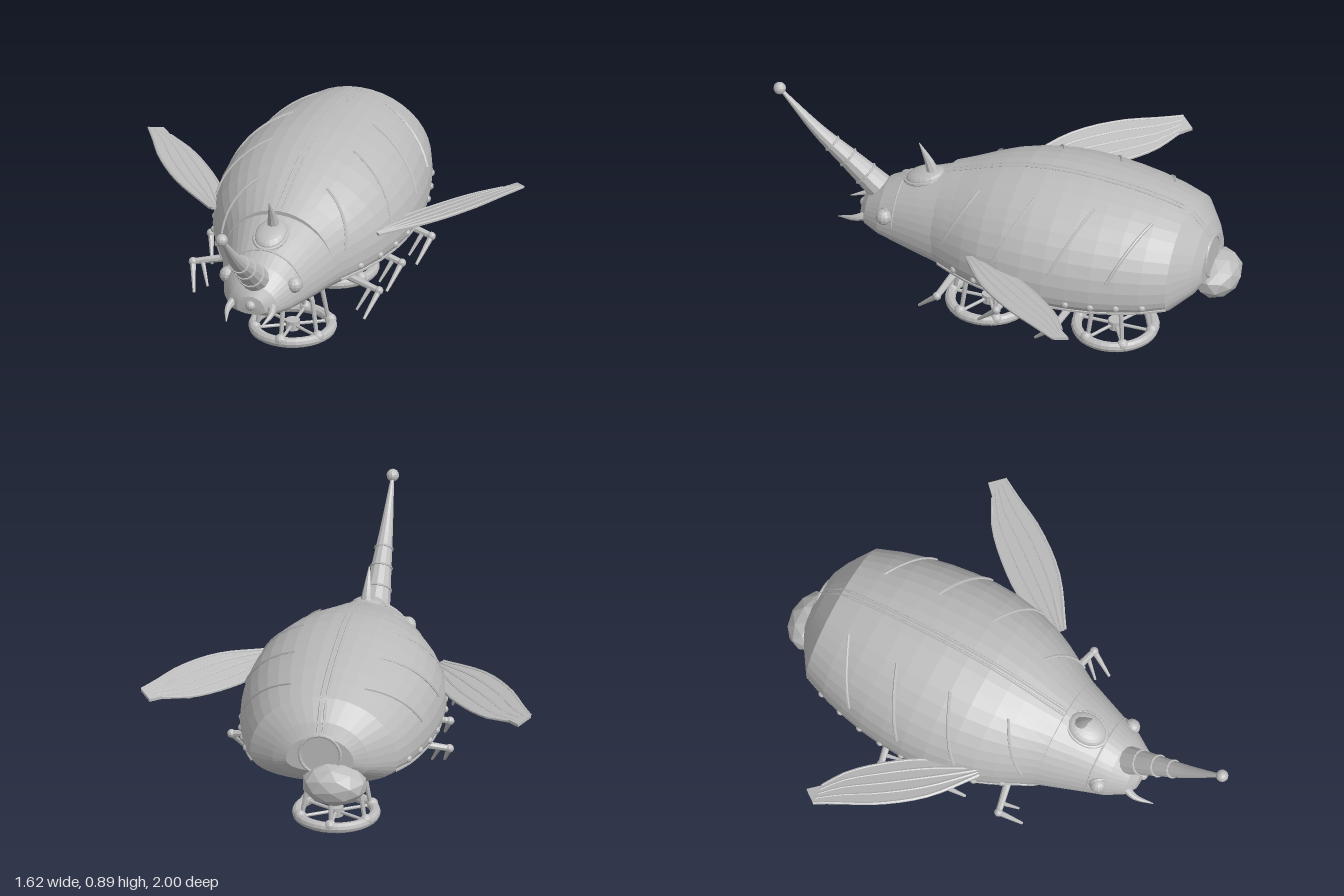
import * as THREE from 'three';

const V = (x, y, z) => new THREE.Vector3(x, y, z);

// Hull stations, nose to tail: z, half width, top y, bottom y
const HEAD = [
  [0.605, 0.001, 0.385, 0.383], [0.6, 0.06, 0.42, 0.34], [0.57, 0.105, 0.46, 0.325], [0.5, 0.148, 0.515, 0.308],
  [0.43, 0.172, 0.55, 0.296], [0.34, 0.205, 0.585, 0.285], [0.22, 0.25, 0.625, 0.276], [0.15, 0.27, 0.64, 0.275],
];
const SHELL = [
  [0.24, 0.2, 0.6, 0.3], [0.24, 0.24, 0.635, 0.275], [0.16, 0.285, 0.662, 0.27], [0.08, 0.33, 0.692, 0.267],
  [0, 0.366, 0.718, 0.265], [-0.1, 0.394, 0.742, 0.263], [-0.2, 0.41, 0.754, 0.262], [-0.3, 0.414, 0.758, 0.262],
  [-0.4, 0.408, 0.755, 0.263], [-0.5, 0.395, 0.747, 0.266], [-0.6, 0.373, 0.735, 0.274], [-0.7, 0.345, 0.715, 0.287],
  [-0.8, 0.305, 0.688, 0.31], [-0.87, 0.2, 0.61, 0.36], [-0.9, 0.14, 0.555, 0.4], [-0.9, 0.001, 0.478, 0.476],
];

// Point on a hull section at an angle: elliptical back, fuller belly
function section([z, w, top, bot], a) {
  const mid = bot + (top - bot) * 0.3, c = Math.cos(a), s = Math.sin(a);
  const e = s < 0 ? 0.84 : 1;
  return V(w * Math.sign(c) * Math.abs(c) ** e,
    s < 0 ? mid - (mid - bot) * Math.abs(s) ** e : mid + (top - mid) * s, z);
}

// Point on the hull at any z
function hull(rows, z, a) {
  let i = 1;
  while (i < rows.length - 2 && rows[i + 1][0] > z) i++;
  const p = rows[i], q = rows[i + 1];
  const t = THREE.MathUtils.clamp((z - p[0]) / (q[0] - p[0] || 1), 0, 1);
  return section(p.map((v, k) => v + (q[k] - v) * t), a);
}

function loft(rows, n = 40) {
  const pos = [], idx = [];
  rows.forEach((r, i) => {
    for (let j = 0; j < n; j++) {
      pos.push(...section(r, (j / n) * Math.PI * 2).toArray());
      if (i === rows.length - 1) continue;
      const a = i * n + j, b = i * n + ((j + 1) % n);
      idx.push(a, a + n, b, b, a + n, b + n);
    }
  });
  const g = new THREE.BufferGeometry();
  g.setAttribute('position', new THREE.Float32BufferAttribute(pos, 3));
  g.setIndex(idx);
  g.computeVertexNormals();
  return g;
}

// Tube along points whose radius runs from r0 to r1
function taper(points, r0, r1, sides = 8, n = 12) {
  const curve = new THREE.CatmullRomCurve3(points);
  const g = new THREE.TubeGeometry(curve, n, 1, sides);
  const p = g.attributes.position, v = V(0, 0, 0);
  for (let k = 0; k < p.count; k++) {
    const t = Math.floor(k / (sides + 1)) / n, c = curve.getPointAt(t);
    v.fromBufferAttribute(p, k).sub(c).multiplyScalar(r0 + (r1 - r0) * t).add(c);
    p.setXYZ(k, v.x, v.y, v.z);
  }
  g.computeVertexNormals();
  return g;
}

function rod(a, b, r0, r1 = r0, sides = 8) {
  const d = b.clone().sub(a);
  const g = new THREE.CylinderGeometry(r1, r0, d.length(), sides);
  g.applyQuaternion(new THREE.Quaternion().setFromUnitVectors(V(0, 1, 0), d.normalize()));
  return g.translate((a.x + b.x) / 2, (a.y + b.y) / 2, (a.z + b.z) / 2);
}

const ball = (c, r) => new THREE.SphereGeometry(r, 12, 8).translate(c.x, c.y, c.z);

export function createModel() {
  const model = new THREE.Group();
  const metal = new THREE.MeshStandardMaterial({ color: 0xbcbcbc, flatShading: true });
  metal.name = 'plain light grey';
  const add = (name, geometry) => {
    const m = new THREE.Mesh(geometry, metal);
    m.name = name;
    model.add(m);
    return m;
  };
  const line = (name, n, fn, r) =>
    add(name, taper(Array.from({ length: n + 1 }, (_, i) => fn(i / n)), r, r, 6, n * 2));

  // Hull
  add('head', loft(HEAD));
  add('shell', loft(SHELL));
  line('headCollar', 20, t => hull(HEAD, 0.43, 0.2 + t * (Math.PI - 0.4)), 0.004);

  // Twin rails along the spine
  for (const s of [-1, 1]) {
    line('spineRail', 20, t => hull(SHELL, 0.24 - t * 1.13, Math.PI / 2).add(V(s * 0.011, 0, 0)), 0.006);
  }

  // Tail ring and bulb
  add('tailRing', new THREE.TorusGeometry(0.085, 0.008, 8, 24).translate(0, 0.475, -0.897));
  const bulb = new THREE.IcosahedronGeometry(1, 1).rotateZ(0.3).scale(0.135, 0.09, 0.1);
  add('tailBulb', bulb.translate(-0.06, 0.35, -0.9));

  // Horn with rings and a ball tip
  const hornPath = [V(0, 0.475, 0.54), V(0, 0.575, 0.66), V(0, 0.69, 0.8), V(0, 0.865, 0.97)];
  add('horn', taper(hornPath, 0.058, 0.006, 12, 16));
  add('hornTip', ball(hornPath[3], 0.026));
  const hornCurve = new THREE.CatmullRomCurve3(hornPath);
  for (const t of [0.13, 0.3, 0.45]) {
    const ring = add('hornRing', new THREE.TorusGeometry(0.059 - 0.052 * t, 0.005, 6, 16));
    ring.position.copy(hornCurve.getPointAt(t));
    ring.lookAt(ring.position.clone().add(hornCurve.getTangentAt(t)));
  }

  // Hatch and spike on the forehead
  const hatch = add('hatch', new THREE.SphereGeometry(1, 20, 12).scale(0.066, 0.03, 0.085));
  hatch.position.set(0, 0.58, 0.34);
  hatch.rotation.x = 0.3;
  const rim = add('hatchRim', new THREE.TorusGeometry(0.066, 0.008, 8, 24).rotateX(Math.PI / 2).scale(1, 1, 1.3));
  rim.position.set(0, 0.576, 0.34);
  rim.rotation.x = 0.3;
  add('foreheadSpike', taper([V(0, 0.59, 0.305), V(0, 0.65, 0.325), V(0, 0.735, 0.367)], 0.03, 0.002));
  add('noseKnob', ball(V(0, 0.38, 0.6), 0.022));

  // Outline of a wing as matching edge points (x, z), and its tilted plane
  const outer = [[0.36, 0.035], [0.55, -0.1], [0.68, -0.26], [0.76, -0.41], [0.805, -0.49]];
  const inner = [[0.33, 0], [0.4, -0.19], [0.5, -0.33], [0.61, -0.44], [0.715, -0.5]];
  const wingY = (x, z) => 0.487 + 0.25 * (Math.abs(x) - 0.37) + 0.15 * (z - 0.03);

  for (const s of [-1, 1]) {
    // Face
    add('eye', ball(V(s * 0.143, 0.435, 0.47), 0.034));
    add('eyeSocket', new THREE.TorusGeometry(0.032, 0.007, 6, 16).rotateY(s * 0.9).translate(s * 0.135, 0.434, 0.465));
    add('mandible', taper([V(s * 0.07, 0.385, 0.54), V(s * 0.093, 0.362, 0.61), V(s * 0.075, 0.338, 0.69)], 0.024, 0.002));

    // Wing plate and veins
    const shape = new THREE.Shape();
    [...outer, [0.76, -0.545], ...[...inner].reverse()].forEach(([x, z], i) =>
      i ? shape.lineTo(s * x, -z) : shape.moveTo(s * x, -z));
    const wing = new THREE.ExtrudeGeometry(shape, { depth: 0.012, bevelEnabled: false }).rotateX(-Math.PI / 2);
    const p = wing.attributes.position;
    for (let k = 0; k < p.count; k++) p.setY(k, p.getY(k) - 0.006 + wingY(p.getX(k), p.getZ(k)));
    wing.computeVertexNormals();
    add('wing', wing);
    for (const f of [0, 0.25, 0.5, 0.75, 1]) {
      const pts = outer.map(([x, z], i) => {
        const px = x + (inner[i][0] - x) * f, pz = z + (inner[i][1] - z) * f;
        return V(s * px, wingY(px, pz) + 0.002, pz);
      });
      add('wingVein', taper(pts, 0.009, 0.006, 6, 12));
    }

    const angle = a => (s > 0 ? a : Math.PI - a);
    // Slanted ribs, seam and rivets on the shell
    for (const z of [0.055, -0.2, -0.45, -0.69]) {
      line('shellRib', 8, t => hull(SHELL, z + 0.125 * t, angle(1.13 - 0.86 * t)), 0.007);
    }
    line('shellSeam', 16, t => hull(SHELL, 0.2 - t, angle(-0.33)), 0.008);
    for (let i = 0; i < 9; i++) {
      add('rivet', ball(hull(SHELL, 0.11 - i * 0.1025, angle(-0.12)).sub(V(s * 0.006, 0, 0)), 0.016));
    }

    // Legs
    for (const [z, knee] of [[0.12, 0.4], [-0.14, 0.41], [-0.4, 0.45]]) {
      const hip = V(s * (knee - 0.19), 0.33, z - 0.01), k = V(s * knee, 0.292, z + 0.03);
      const foot = V(s * (knee - 0.035), 0.2, z + 0.12);
      add('upperLeg', rod(hip, k, 0.018, 0.013));
      add('knee', ball(k, 0.018));
      add('lowerLeg', rod(k, foot, 0.013, 0.006));
      add('claw', rod(V(s * (knee - 0.04), 0.297, z + 0.025), V(s * (knee - 0.08), 0.215, z + 0.08), 0.01, 0.005));
    }
  }

  // Landing rings under the belly
  for (const z of [0.065, -0.48]) {
    const at = (a, r, y) => V(Math.cos(a) * r, y, z + Math.sin(a) * r);
    add('landingRing', new THREE.TorusGeometry(0.159, 0.022, 10, 32).rotateX(Math.PI / 2).translate(0, 0.026, z));
    add('landingHub', new THREE.CylinderGeometry(0.03, 0.03, 0.04, 12).translate(0, 0.03, z));
    for (let i = 0; i < 6; i++) {
      const a = Math.PI / 2 + (i / 6) * Math.PI * 2;
      add('strut', rod(at(a, 0.148, 0.04), at(a, 0.12, 0.19), 0.009, 0.011));
      add('strutTop', rod(at(a, 0.12, 0.185), at(a, 0.07, 0.29), 0.011, 0.013));
      add('ringKnob', ball(at(a, 0.157, 0.034), 0.025));
      add('spoke', rod(at(a, 0, 0.03), at(a, 0.155, 0.03), 0.007));
    }
  }
  return model;
}
